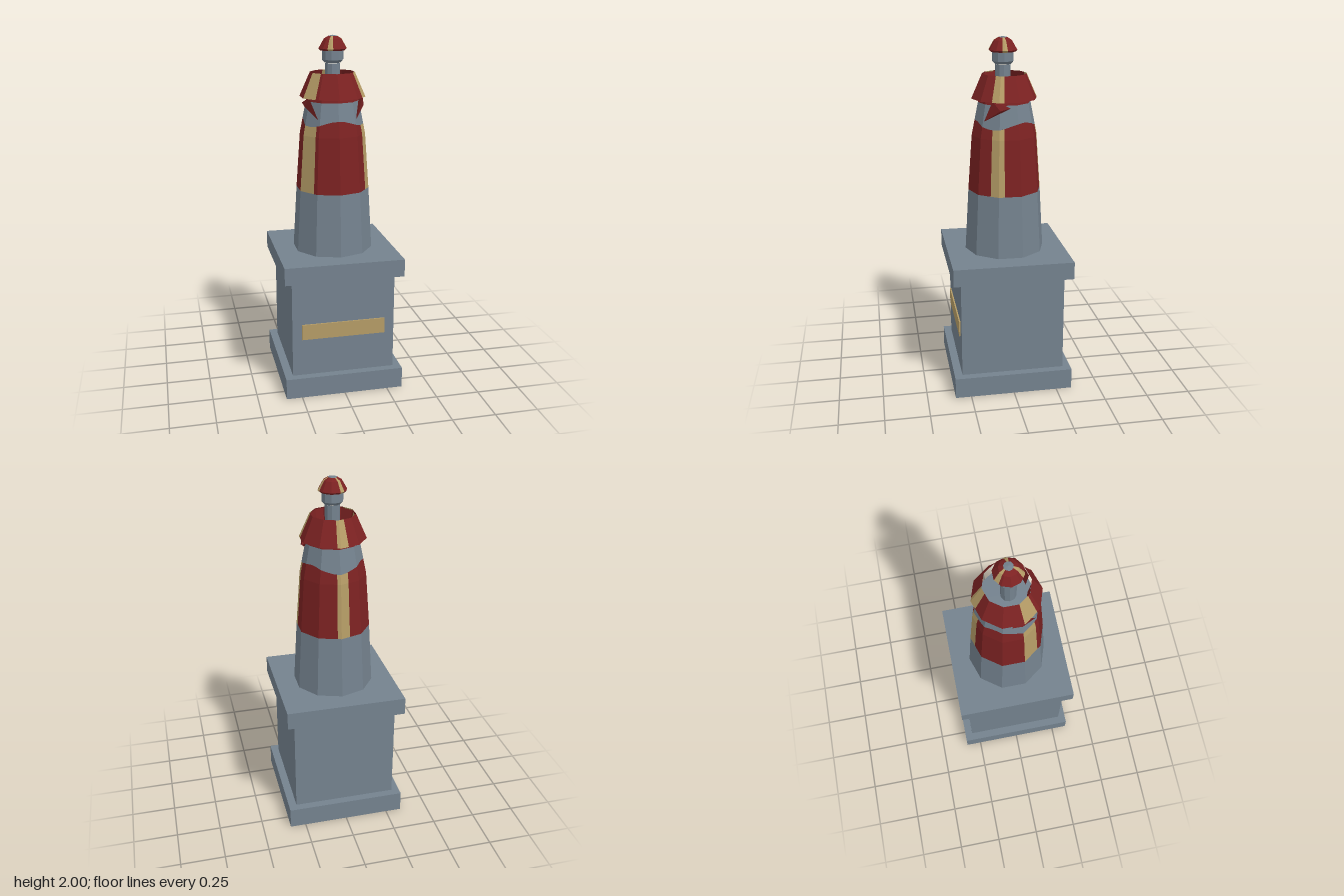
import * as THREE from 'three';
import { ConvexGeometry } from 'three/addons/geometries/ConvexGeometry.js';

const RAD = Math.PI / 180;

function material(name, color, side = THREE.FrontSide) {
  const m = new THREE.MeshStandardMaterial({ color, side });
  m.name = name;
  return m;
}

// Point at angle a (degrees from +z towards +x) on a ten-sided ring [radius, height, wave]
function ringPoint([r, y, wave = 0], a) {
  const local = (((a % 36) + 36) % 36) - 18;
  const dy = wave * Math.cos(3 * a * RAD);
  const d = ((r - 0.2 * dy) * Math.cos(18 * RAD)) / Math.cos(local * RAD);
  return [d * Math.sin(a * RAD), y + dy, d * Math.cos(a * RAD)];
}

// Flat-faceted skin between rings, over the angles where keep(angle) holds
function skin(rings, cuts = [], keep = () => true) {
  const angles = [...Array(31).keys()].map((i) => i * 12).concat(cuts);
  const sorted = [...new Set(angles)].sort((a, b) => a - b);
  const pos = [];
  for (let i = 0; i + 1 < sorted.length; i++) {
    const a = sorted[i], b = sorted[i + 1];
    if (!keep((a + b) / 2)) continue;
    for (let k = 0; k + 1 < rings.length; k++) {
      const p = ringPoint(rings[k], a), q = ringPoint(rings[k], b);
      const s = ringPoint(rings[k + 1], b), t = ringPoint(rings[k + 1], a);
      if (rings[k][0] > 0) pos.push(...p, ...q, ...s);
      if (rings[k + 1][0] > 0) pos.push(...p, ...s, ...t);
    }
  }
  const g = new THREE.BufferGeometry();
  g.setAttribute('position', new THREE.Float32BufferAttribute(pos, 3));
  g.computeVertexNormals();
  return g;
}

export function createModel() {
  const model = new THREE.Group();
  const stone = material('stone grey', 0x74828e);
  const red = material('dark red', 0x7c2222, THREE.DoubleSide);
  const gold = material('dull gold', 0xb59c66, THREE.DoubleSide);

  function add(name, geometry, mat, parent = model) {
    const mesh = new THREE.Mesh(geometry, mat);
    mesh.name = name;
    parent.add(mesh);
    return mesh;
  }
  function box(name, w, y0, y1, d, mat, z = 0) {
    add(name, new THREE.BoxGeometry(w, y1 - y0, d), mat).position.set(0, (y0 + y1) / 2, z);
  }
  // Red skin with gold stripes over the given angle ranges
  function striped(name, rings, stripes, parent = model) {
    const inStripe = (a) => stripes.some(([s, e]) => a > s && a < e);
    add(name, skin(rings, stripes.flat(), (a) => !inStripe(a)), red, parent);
    add(name + 'Stripes', skin(rings, stripes.flat(), inStripe), gold, parent);
  }

  // Pedestal
  box('plinth', 0.68, 0, 0.12, 0.68, stone);
  box('pedestal', 0.59, 0.12, 0.69, 0.59, stone);
  box('pedestalCap', 0.68, 0.69, 0.79, 0.68, stone);
  box('plaque', 0.48, 0.34, 0.43, 0.009, gold, 0.2985);

  // Robe: grey skirt, red middle with a wavy upper edge, grey chest, red collar seam
  const stripes = [[58, 81], [174, 195], [288, 317]];
  add('skirt', skin([[0.229, 0.79], [0.208, 1.145]]), stone);
  striped('robe', [[0.208, 1.145], [0.185, 1.46], [0.171, 1.53, 0.018]], stripes);
  add('chest', skin([[0.171, 1.53, 0.018], [0.148, 1.645]]), stone);
  add('collarSeam', skin([[0.148, 1.645], [0.143, 1.67]]), red);
  add('shoulders', skin([[0.143, 1.67], [0, 1.675]]), stone);

  // Open cape with a lining folded inwards at the front
  striped('cape', [[0.185, 1.665], [0.125, 1.8]], stripes);
  add('capeLining', skin([[0.108, 1.7], [0.124, 1.795]], [], (a) => (a > 10 && a < 90) || (a > 270 && a < 350)), red);

  // Pointed sleeves
  for (const s of [1, -1]) {
    const corners = [
      [0.172, 1.635, -0.005], [0.15, 1.672, 0.09], [0.168, 1.62, 0.05],
      [0.108, 1.555, 0.13], [0.135, 1.645, 0.02],
    ].map(([x, y, z]) => new THREE.Vector3(s * x, y, z));
    add(s > 0 ? 'leftSleeve' : 'rightSleeve', new ConvexGeometry(corners), red);
  }

  // Head and cap, turned half a facet
  const head = new THREE.Group();
  head.name = 'head';
  head.position.z = 0.008;
  head.rotation.y = 18 * RAD;
  model.add(head);
  add('neck', skin([[0.042, 1.66], [0.042, 1.85]]), stone, head);
  add('face', skin([[0, 1.85], [0.046, 1.852], [0.06, 1.868], [0.06, 1.925]]), stone, head);
  striped('cap', [[0.058, 1.918], [0.07, 1.918], [0.08, 1.928], [0.05, 1.98], [0.025, 1.995]],
    [[62, 84], [182, 204], [308, 332]], head);
  add('capTip', skin([[0.025, 1.995], [0, 2]]), stone, head);

  return model;
}
